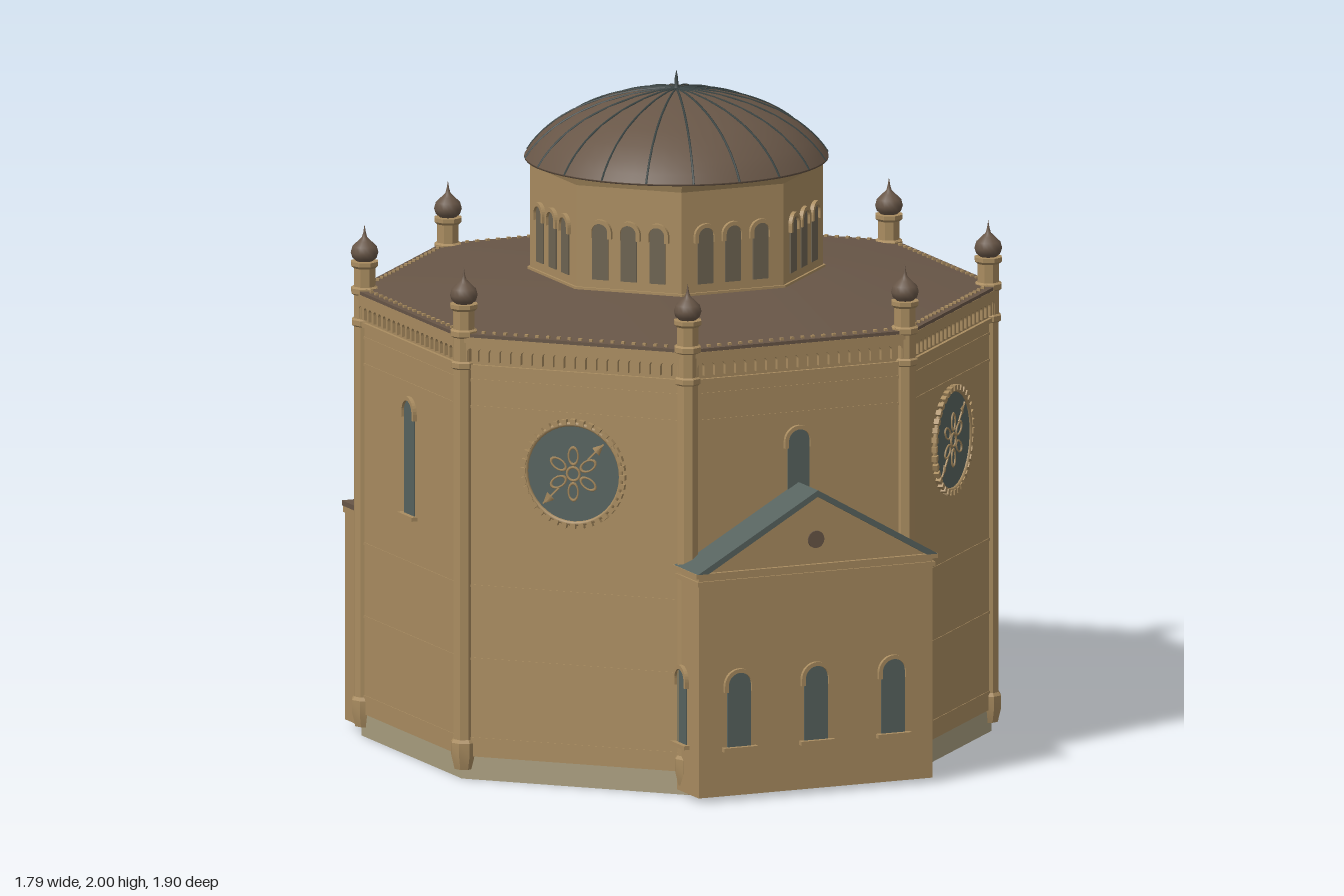
import * as THREE from 'three';
import { mergeGeometries, toCreasedNormals } from 'three/addons/utils/BufferGeometryUtils.js';

const CZ = -0.06;        // centre of the octagon
const APOTHEM = 0.865;   // wall distance from that centre
const SIDE = 2 * APOTHEM * Math.tan(Math.PI / 8);

const material = (name, color) => {
  const m = new THREE.MeshStandardMaterial({ color });
  m.name = name;
  return m;
};

export function createModel() {
  const wall = material('sandstone', 0xa98c60);
  const roof = material('brownRoof', 0x685647);
  const glass = material('slateGlass', 0x57635f);
  const rib = material('darkRib', 0x3c4645);
  const plinth = material('paleStone', 0xa89d7e);
  const shutter = material('shadedGlazing', 0x6e6452);

  const model = new THREE.Group();
  const add = (parent, name, geo, mat, x = 0, y = 0, z = 0) => {
    const m = new THREE.Mesh(geo, mat);
    m.name = name;
    m.position.set(x, y, z);
    parent.add(m);
    return m;
  };
  const box = (w, h, d, x = 0, y = 0, z = 0) => new THREE.BoxGeometry(w, h, d).translate(x, y, z);
  const extrude = (shape, depth, curveSegments = 8) =>
    new THREE.ExtrudeGeometry(shape, { depth, bevelEnabled: false, curveSegments });
  const vec = (pts) => pts.map(([x, y]) => new THREE.Vector2(x, y));
  // Octagonal frustum with flat sides facing the axes; sizes are apothems
  const octagon = (a0, a1, y0, y1) => {
    const k = 1 / Math.cos(Math.PI / 8);
    const g = new THREE.CylinderGeometry(a1 * k, a0 * k, y1 - y0, 8, 1, false, Math.PI / 8);
    return toCreasedNormals(g.translate(0, (y0 + y1) / 2, 0), 0.3);
  };
  // Group whose local +z points out of a wall
  const face = (parent, name, angle, dist, cx = 0, cz = 0) => {
    const g = new THREE.Group();
    g.name = name;
    g.rotation.y = angle;
    g.position.set(cx + Math.sin(angle) * dist, 0, cz + Math.cos(angle) * dist);
    parent.add(g);
    return g;
  };

  // Round-headed outline, used for windows, their frames and the arcade
  const arch = (w, h, Path = THREE.Shape) => {
    const p = new Path();
    p.moveTo(-w / 2, 0);
    p.lineTo(w / 2, 0);
    p.lineTo(w / 2, h - w / 2);
    p.absarc(0, h - w / 2, w / 2, 0, Math.PI, false);
    p.lineTo(-w / 2, 0);
    return p;
  };
  const addWindow = (parent, x, y, w, h, pane = glass, sill = true) => {
    const g = new THREE.Group();
    g.name = 'archedWindow';
    g.position.set(x, y, 0);
    parent.add(g);
    add(g, 'pane', extrude(arch(w, h), 0.004), pane);
    // Hood moulding around the arch
    const r = w / 2, hood = new THREE.Shape();
    hood.moveTo(r + 0.012, h - r - 0.02);
    hood.lineTo(r + 0.012, h - r);
    hood.absarc(0, h - r, r + 0.012, 0, Math.PI, false);
    hood.lineTo(-r - 0.012, h - r - 0.02);
    hood.lineTo(-r, h - r - 0.02);
    hood.lineTo(-r, h - r);
    hood.absarc(0, h - r, r, Math.PI, 0, true);
    hood.lineTo(r, h - r - 0.02);
    add(g, 'hood', extrude(hood, 0.012), wall);
    if (sill) add(g, 'sill', box(w + 0.035, 0.012, 0.022), wall, 0, -0.004, 0.008);
  };

  // Main body
  const hall = new THREE.Group();
  hall.name = 'octagonalHall';
  hall.position.z = CZ;
  model.add(hall);
  add(hall, 'plinth', octagon(0.86, 0.86, 0, 0.075), plinth);
  add(hall, 'walls', octagon(APOTHEM, APOTHEM, 0.07, 1.335), wall);
  for (const y of [0.12, 0.36, 0.58, 1.12, 1.2])
    add(hall, 'stringCourse', octagon(APOTHEM + 0.002, APOTHEM + 0.002, y, y + 0.008), wall);
  add(hall, 'lowerCornice', octagon(APOTHEM + 0.01, APOTHEM + 0.01, 1.238, 1.252), wall);
  add(hall, 'upperCornice', octagon(APOTHEM + 0.016, APOTHEM + 0.016, 1.318, 1.335), wall);
  add(hall, 'eaves', octagon(0.88, 0.88, 1.335, 1.345), roof);
  add(hall, 'mainRoof', octagon(0.875, 0.39, 1.343, 1.405), roof);

  // Arcaded frieze: a strip with arches cut from its lower edge
  const N = 20, pitch = (SIDE - 0.04) / N;
  const frieze = new THREE.Shape();
  frieze.moveTo(-N * pitch / 2, 1.32);
  for (let i = 0; i < N; i++) {
    const c = (i - N / 2 + 0.5) * pitch, r = pitch * 0.33;
    frieze.lineTo(c - pitch / 2, 1.262);
    frieze.lineTo(c - r, 1.262);
    frieze.lineTo(c - r, 1.29);
    frieze.absarc(c, 1.29, r, Math.PI, 0, true);
    frieze.lineTo(c + r, 1.262);
    frieze.lineTo(c + pitch / 2, 1.262);
  }
  frieze.lineTo(N * pitch / 2, 1.32);
  const friezeGeo = extrude(frieze, 0.014, 5);
  const beads = mergeGeometries(Array.from({ length: N }, (_, i) =>
    box(0.01, 0.008, 0.01, (i - N / 2 + 0.5) * pitch, 1.348, -0.006)));

  // Rosette parts: glazing, beaded surround and flower tracery
  const beadRing = mergeGeometries(Array.from({ length: 36 }, (_, i) =>
    box(0.016, 0.016, 0.016, 0.157, 0, 0.008).rotateZ(i * Math.PI / 18)));
  const petals = [];
  for (let i = 0; i < 6; i++)
    petals.push(new THREE.TorusGeometry(0.019, 0.0035, 4, 14).scale(1.35, 0.8, 1)
      .translate(0.054, 0, 0).rotateZ(i * Math.PI / 3 + Math.PI / 6));
  petals.push(new THREE.TorusGeometry(0.02, 0.004, 4, 16));
  for (const a of [Math.PI / 4, Math.PI * 1.25]) {
    petals.push(box(0.07, 0.005, 0.005, 0.1, 0, 0).rotateZ(a));
    petals.push(new THREE.CylinderGeometry(0, 0.016, 0.035, 4).rotateZ(-Math.PI / 2)
      .scale(1, 1, 0.25).translate(0.118, 0, 0).rotateZ(a));
  }
  const tracery = mergeGeometries(petals);

  for (let i = 0; i < 8; i++) {
    const f = face(hall, 'wallFace', i * Math.PI / 4, APOTHEM);
    add(f, 'frieze', friezeGeo, wall);
    add(f, 'roofEdgeBeads', beads, wall);
    if (i % 2 === 0) {
      addWindow(f, 0, 0.73, 0.07, 0.345);
    } else {
      const rose = new THREE.Group();
      rose.name = 'roseWindow';
      rose.position.y = 0.945;
      f.add(rose);
      add(rose, 'pane', new THREE.CylinderGeometry(0.148, 0.148, 0.006, 40).rotateX(Math.PI / 2), glass, 0, 0, 0.003);
      add(rose, 'surround', new THREE.TorusGeometry(0.15, 0.007, 6, 40), wall, 0, 0, 0.006);
      add(rose, 'beads', beadRing, wall);
      add(rose, 'tracery', tracery, wall, 0, 0, 0.008);
    }
  }

  // Corner piers with onion finials
  const pierGeo = toCreasedNormals(new THREE.LatheGeometry(vec([
    [0, 0.03], [0.03, 0.03], [0.04, 0.07], [0.04, 0.11], [0.033, 0.12], [0.033, 1.235], [0.04, 1.24], [0.04, 1.255],
    [0.034, 1.26], [0.034, 1.33], [0.042, 1.335], [0.042, 1.35], [0.034, 1.355], [0.034, 1.41], [0.043, 1.418],
    [0.043, 1.43], [0, 1.432]]), 8, Math.PI / 8), 0.4);
  const onionGeo = new THREE.LatheGeometry(vec([
    [0.022, 1.428], [0.036, 1.44], [0.041, 1.456], [0.036, 1.475], [0.02, 1.49], [0.008, 1.502], [0.004, 1.515], [0, 1.54]]), 16);
  for (let i = 0; i < 8; i++) {
    const p = face(hall, 'cornerPier', (i + 0.5) * Math.PI / 4, 0.922);
    add(p, 'shaft', pierGeo, wall);
    add(p, 'onionFinial', onionGeo, roof);
  }

  // Drum with triple windows on each side
  add(hall, 'drum', octagon(0.4, 0.4, 1.38, 1.745), wall);
  add(hall, 'drumBase', octagon(0.407, 0.407, 1.39, 1.41), wall);
  add(hall, 'drumCornice', octagon(0.4, 0.41, 1.715, 1.745), wall);
  for (let i = 0; i < 8; i++) {
    const f = face(hall, 'drumFace', i * Math.PI / 4, 0.4);
    for (const x of [-0.09, 0, 0.09]) addWindow(f, x, 1.435, 0.05, 0.17, shutter, false);
  }

  // Ribbed dome and spike
  const domePts = vec([[0.45, 1.742], [0.432, 1.768], [0.405, 1.798], [0.36, 1.836], [0.3, 1.872],
    [0.22, 1.905], [0.13, 1.929], [0.06, 1.94], [0, 1.944]]);
  add(hall, 'dome', new THREE.LatheGeometry(domePts, 60), roof);
  add(hall, 'domeSoffit', new THREE.LatheGeometry(vec([[0.36, 1.738], [0.45, 1.738], [0.45, 1.743]]), 60), roof);
  const ribGeo = new THREE.TubeGeometry(
    new THREE.CatmullRomCurve3(domePts.map((p) => new THREE.Vector3(p.x, p.y, 0))), 20, 0.0035, 5);
  for (let i = 0; i < 20; i++) add(hall, 'domeRib', ribGeo, rib).rotation.y = i * Math.PI / 10;
  add(hall, 'spike', new THREE.LatheGeometry(vec([[0.014, 1.94], [0.006, 1.955], [0.005, 1.975], [0, 2]]), 10), rib);

  // Gabled front porch
  const porch = new THREE.Group();
  porch.name = 'frontPorch';
  model.add(porch);
  add(porch, 'porchWalls', box(0.76, 0.67, 0.2, 0, 0.35, 0.83), wall);
  for (const [y, e] of [[0.66, 0.006], [0.685, 0.012]])
    add(porch, 'porchCornice', box(0.76 + 2 * e, 0.014, 0.19 + e, 0, y, 0.835 + e / 2), wall);
  const gable = new THREE.Shape(vec([[-0.375, 0.685], [0.375, 0.685], [0, 0.9]]));
  add(porch, 'gable', extrude(gable, 0.16), wall, 0, 0, 0.77);
  const slope = new THREE.Shape(vec([[-0.39, 0.692], [-0.355, 0.692], [0, 0.896], [0.355, 0.692], [0.39, 0.692], [0, 0.915]]));
  add(porch, 'porchRoof', extrude(slope, 0.17), glass, 0, 0, 0.777);
  add(porch, 'oculus', new THREE.CylinderGeometry(0.026, 0.026, 0.008, 20).rotateX(Math.PI / 2), roof, 0, 0.765, 0.931);
  const porchFront = face(porch, 'porchFront', 0, 0.93);
  for (const x of [-0.25, 0, 0.25]) addWindow(porchFront, x, 0.16, 0.075, 0.225);
  for (const s of [-1, 1])
    addWindow(face(porch, 'porchSide', s * Math.PI / 2, 0.38, 0, 0.815), 0, 0.16, 0.065, 0.225);

  // Small flat-roofed annex at the rear right
  const annex = new THREE.Group();
  annex.name = 'rearAnnex';
  model.add(annex);
  add(annex, 'annexWalls', box(0.2, 0.64, 0.2, -0.745, 0.34, -0.465), wall);
  add(annex, 'annexCornice', box(0.21, 0.02, 0.21, -0.745, 0.655, -0.465), wall);
  add(annex, 'annexRoof', box(0.215, 0.015, 0.215, -0.745, 0.672, -0.465), roof);
  addWindow(face(annex, 'annexBack', Math.PI, 0.565), -0.0, 0.16, 0.06, 0.225);
  annex.children[annex.children.length - 1].position.x = -0.77;
  return model;
}
